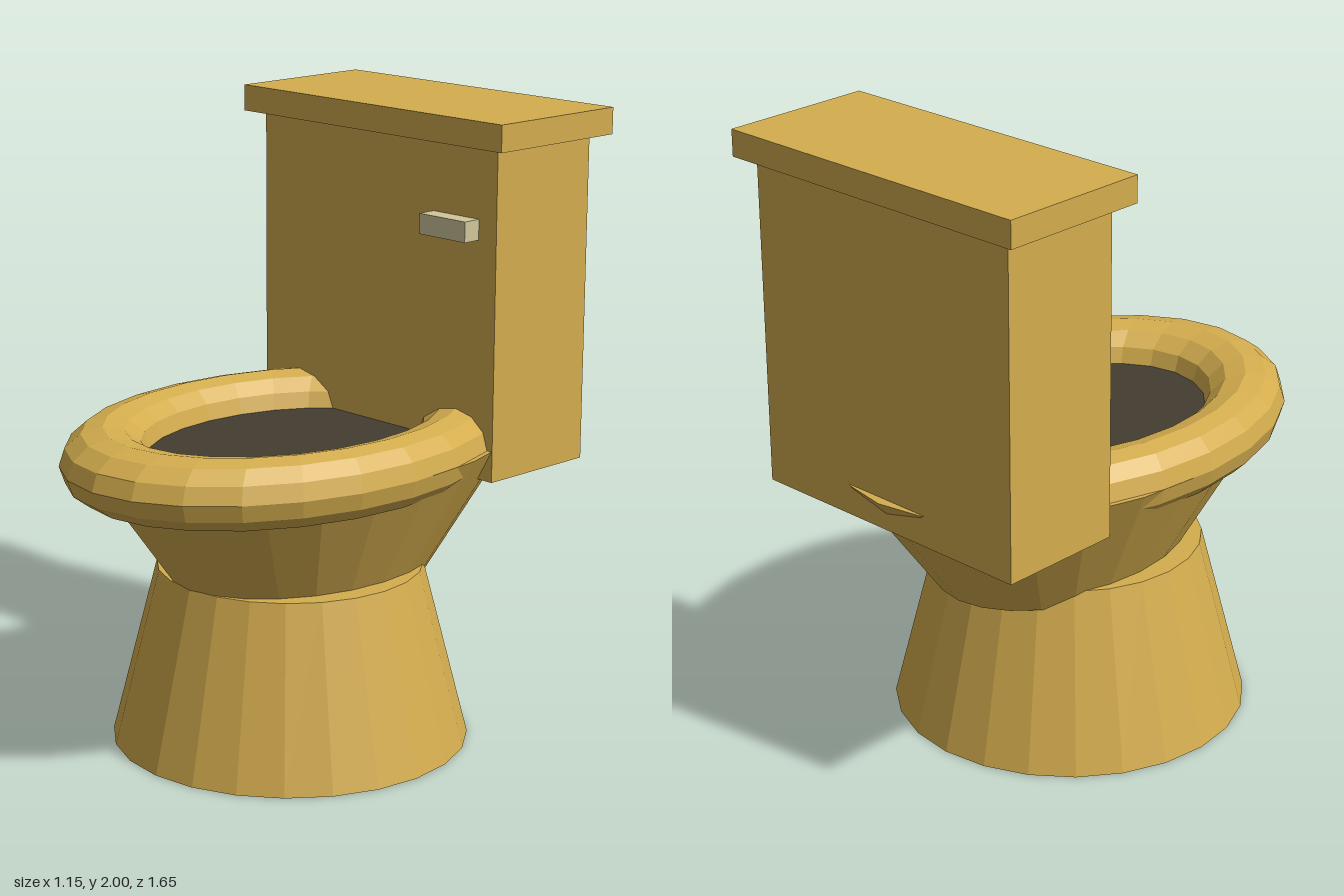
import * as THREE from 'three';

export function createModel() {
  const material = (name, color) => {
    const m = new THREE.MeshStandardMaterial({ color, flatShading: true });
    m.name = name;
    return m;
  };
  const gold = material('gold', 0xd4ad4e);
  const dark = material('darkInterior', 0x443d30);
  const pale = material('paleMetal', 0xd2c79c);

  const group = new THREE.Group();
  group.name = 'toilet';
  const add = (name, geometry, mat, x, y, z) => {
    const mesh = new THREE.Mesh(geometry, mat);
    mesh.name = name;
    mesh.position.set(x, y, z);
    group.add(mesh);
    return mesh;
  };

  // Tapered round pedestal
  add('pedestal', new THREE.CylinderGeometry(0.425, 0.572, 0.575, 24), gold, 0, 0.2875, 0.018);

  // Oval bowl flaring upwards
  const bowl = new THREE.CylinderGeometry(0.77, 0.445, 0.45, 24).scale(0.737, 1, 1);
  add('bowl', bowl, gold, 0, 0.74, -0.043);

  // Oval ring seat
  const seat = new THREE.TorusGeometry(0.465, 0.11, 12, 24).rotateX(Math.PI / 2).scale(1, 1, 1.36);
  add('seat', seat, gold, 0, 0.965, 0.04);

  // Dark opening inside the seat, its rim tucked into the ring
  const opening = new THREE.CircleGeometry(0.385, 24).rotateX(-Math.PI / 2).scale(1, 1, 1.36);
  add('bowlOpening', opening, dark, 0, 0.968, 0.04);

  // Tank, lid and flush handle
  add('tank', new THREE.BoxGeometry(1.03, 1.055, 0.42), gold, 0, 1.3925, -0.57);
  add('tankLid', new THREE.BoxGeometry(1.14, 0.085, 0.51), gold, 0, 1.9575, -0.57);
  add('flushHandle', new THREE.BoxGeometry(0.193, 0.065, 0.07), pale, 0.345, 1.6575, -0.333);

  return group;
}
